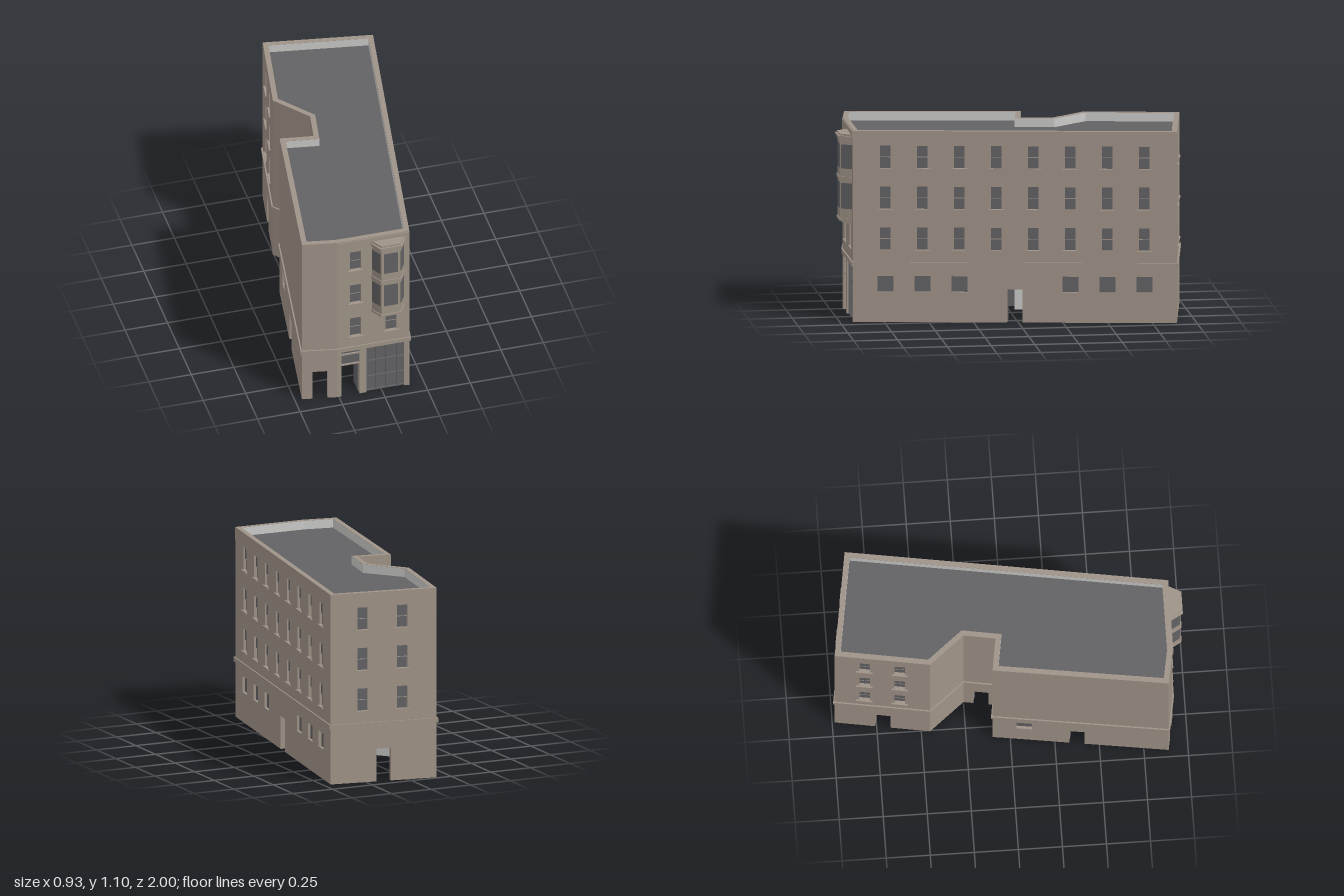
import * as THREE from 'three';

const T = 0.03, H = 1.1, ROOF = 1.05;

const brown = new THREE.MeshStandardMaterial({ color: 0x9f9387 });
brown.name = 'brownStone';
const dark = new THREE.MeshStandardMaterial({ color: 0x626265 });
dark.name = 'darkGrey';
const pale = new THREE.MeshStandardMaterial({ color: 0xc9c9c7, side: THREE.DoubleSide });
pale.name = 'paleLining';

// Footprint corners [x, z], walked left to right as seen from outside
const plan = [
  [-0.459, 0.89], [-0.26, 0.925], [0.163, 0.925], [0.456, -0.887], [-0.165, -0.986],
  [-0.255, -0.45], [-0.092, -0.25], [-0.122, -0.07], [-0.313, -0.1],
];

// Openings of each wall: w = sash windows [u, row], g = ground windows, d = doors
const ROWS = [0.415, 0.65, 0.885];
const columns = (us) => us.flatMap((u) => ROWS.map((y) => [u, y]));
const eight = [0, 1, 2, 3, 4, 5, 6, 7].map((i) => 0.184 + i * 0.2096);
const door = (u, hinge = -1) => ({ u, w: 0.086, h: 0.19, hinge });
const walls = [
  { name: 'frontLeftWall', d: [door(0.103)] },
  {
    name: 'frontWall', w: [...columns([0.106]), [0.316, ROWS[0]]],
    d: [{ u: 0.078, w: 0.106, h: 0.312, hinge: 1, transom: true }, { u: 0.2925, w: 0.245, h: 0.315, shop: true }],
  },
  { name: 'rightWall', w: columns(eight), g: eight.filter((_, i) => i < 3 || i > 4), d: [door(0.917)] },
  { name: 'backWall', w: columns([0.19, 0.425]), d: [door(0.315)] },
  { name: 'backLeftWall', w: columns([0.17, 0.37]), d: [door(0.275)] },
  { name: 'notchSlantWall' },
  { name: 'notchWall', d: [door(0.1)] },
  { name: 'notchFrontWall', d: [door(0.105)] },
  { name: 'leftWall', g: [0.18], d: [door(0.48)] },
];

function add(parent, name, geometry, material, x = 0, y = 0, z = 0) {
  const mesh = new THREE.Mesh(geometry, material);
  mesh.name = name;
  mesh.position.set(x, y, z);
  parent.add(mesh);
  return mesh;
}
const box = (parent, name, mat, w, h, d, x, y, z) =>
  add(parent, name, new THREE.BoxGeometry(w, h, d), mat, x, y, z);

// Mitred offset of the footprint, positive outwards
function offset(points, d) {
  const n = points.length;
  const normal = (i) => {
    const a = points[i % n], b = points[(i + 1) % n];
    return new THREE.Vector2(a[1] - b[1], b[0] - a[0]).normalize();
  };
  return points.map((p, i) => {
    const n1 = normal(i + n - 1), n2 = normal(i), k = d / (1 + n1.dot(n2));
    return [p[0] + k * (n1.x + n2.x), p[1] + k * (n1.y + n2.y)];
  });
}

// Horizontal slab of a plan outline, optionally hollow
function slab(points, height, hole) {
  const vec = (list) => list.map(([x, z]) => new THREE.Vector2(x, -z));
  const shape = new THREE.Shape(vec(points));
  if (hole) shape.holes.push(new THREE.Path(vec(hole)));
  return new THREE.ExtrudeGeometry(shape, { depth: height, bevelEnabled: false }).rotateX(-Math.PI / 2);
}

// Upright wall outline with door notches in its lower edge
function wallShape(u0, u1, doors) {
  const s = new THREE.Shape().moveTo(u0, 0);
  for (const { u, w, h } of doors) {
    s.lineTo(u - w / 2, 0).lineTo(u - w / 2, h).lineTo(u + w / 2, h).lineTo(u + w / 2, 0);
  }
  return s.lineTo(u1, 0).lineTo(u1, H - 0.001).lineTo(u0, H - 0.001).closePath();
}

function cutHole(shape, u, y, w, h) {
  shape.holes.push(new THREE.Path().moveTo(u - w / 2, y).lineTo(u - w / 2, y + h)
    .lineTo(u + w / 2, y + h).lineTo(u + w / 2, y).closePath());
}

function buildWall(i, inner) {
  const { name, w = [], g = [], d = [] } = walls[i];
  const a = plan[i], b = plan[(i + 1) % plan.length];
  const dx = b[0] - a[0], dz = b[1] - a[1], len = Math.hypot(dx, dz);
  const group = new THREE.Group();
  group.name = name;
  group.position.set(a[0], 0, a[1]);
  group.rotation.y = Math.atan2(-dz, dx);
  const along = (p) => ((p[0] - a[0]) * dx + (p[1] - a[1]) * dz) / len;

  const shape = wallShape(0, len, d);
  const wide = name === 'frontWall' ? 0.066 : 0.06;
  // Sash windows with a meeting rail and a sill
  for (const [u, y] of w) {
    cutHole(shape, u, y, wide, 0.13);
    box(group, 'upperSash', dark, wide, 0.065, 0.004, u, y + 0.0975, -0.012);
    box(group, 'lowerSash', dark, wide, 0.065, 0.004, u, y + 0.0325, -0.018);
    box(group, 'meetingRail', brown, wide, 0.004, 0.008, u, y + 0.064, -0.013);
    box(group, 'sill', brown, 0.094, 0.007, 0.014, u, y - 0.0035, 0.002);
  }
  // Ground floor windows
  for (const u of g) {
    cutHole(shape, u, 0.173, 0.09, 0.092);
    box(group, 'groundWindow', dark, 0.09, 0.092, 0.004, u, 0.219, -0.018);
  }
  // Doorways with leaves standing open, and the shop front
  for (const o of d) {
    if (o.shop) {
      box(group, 'shopGlass', dark, o.w, o.h, 0.004, o.u, o.h / 2, -0.022);
      for (let k = 0; k <= 4; k++) {
        box(group, 'shopMullion', dark, 0.006, o.h, 0.012, o.u + (k / 4 - 0.5) * (o.w - 0.006), o.h / 2, -0.016);
      }
      for (const y of [0.004, 0.1, 0.21, 0.311]) {
        box(group, 'shopRail', dark, o.w, 0.006, 0.01, o.u, y, -0.016);
      }
      continue;
    }
    const top = o.transom ? 0.21 : o.h;
    box(group, 'openDoor', dark, 0.004, top - 0.004, 0.085, o.u + o.hinge * (o.w / 2 - 0.002), top / 2, -T - 0.0425);
    if (o.transom) {
      box(group, 'transomGlass', dark, o.w, o.h - top, 0.004, o.u, (o.h + top) / 2, -0.018);
      for (const y of [0.214, 0.286]) box(group, 'transomBar', brown, o.w, 0.008, 0.014, o.u, y, -0.014);
    }
  }
  add(group, 'wallPanel', new THREE.ExtrudeGeometry(shape, { depth: T, bevelEnabled: false }), brown, 0, 0, -T);
  const lining = wallShape(along(inner[i]), along(inner[(i + 1) % plan.length]), d);
  add(group, 'wallLining', new THREE.ShapeGeometry(lining), pale, 0, 0, -T - 0.0006);
  return group;
}

// Three-sided bay window on the front
function buildBay() {
  const bay = new THREE.Group();
  bay.name = 'bayWindow';
  bay.position.set(0.037, 0, 0.92);
  const prism = (name, back, front, depth, y0, y1) =>
    add(bay, name, slab([[-back, 0], [-front, depth], [front, depth], [back, 0]], y1 - y0), brown, 0, y0);
  prism('bayBody', 0.096, 0.056, 0.068, 0.575, 1.05);
  prism('bayFoot', 0.08, 0.045, 0.058, 0.561, 0.575);
  prism('bayFootLower', 0.062, 0.034, 0.046, 0.55, 0.561);
  prism('bayBaseBand', 0.101, 0.059, 0.073, 0.572, 0.586);
  prism('bayMiddleBand', 0.101, 0.059, 0.073, 0.806, 0.826);
  prism('bayCorniceLower', 0.102, 0.06, 0.074, 1.035, 1.05);
  prism('bayCornice', 0.108, 0.065, 0.08, 1.05, 1.062);
  prism('bayRoof', 0.098, 0.056, 0.07, 1.062, 1.072);
  const angle = Math.atan2(0.068, 0.04);
  for (const [y0, y1] of [[0.642, 0.79], [0.873, 1.012]]) {
    const y = (y0 + y1) / 2, h = y1 - y0;
    box(bay, 'bayFrontGlass', dark, 0.084, h, 0.004, 0, y, 0.0675);
    for (const s of [-1, 1]) {
      const pane = box(bay, 'baySideGlass', dark, 0.066, h, 0.004, s * 0.0763, y, 0.0341);
      pane.rotation.y = s * angle;
    }
  }
  return bay;
}

export function createModel() {
  const model = new THREE.Group();
  model.name = 'cornerBuilding';
  const inner = offset(plan, -T);
  walls.forEach((_, i) => model.add(buildWall(i, inner)));

  // Roof, parapet rim and string course
  add(model, 'roof', slab(offset(plan, -T + 0.004), 0.01), dark, 0, ROOF - 0.01);
  add(model, 'parapetRim', slab(plan, 0.003, inner), brown, 0, H - 0.003);
  add(model, 'stringCourse', slab(offset(plan, 0.008), 0.026, offset(plan, -0.005)), brown, 0, 0.32);

  // Fascia at the top of the front
  box(model, 'fascia', brown, 0.423, 0.075, 0.004, -0.0485, 1.0575, 0.926);
  box(model, 'fasciaCap', brown, 0.423, 0.027, 0.008, -0.0485, 1.0815, 0.926);

  model.add(buildBay());
  return model;
}
